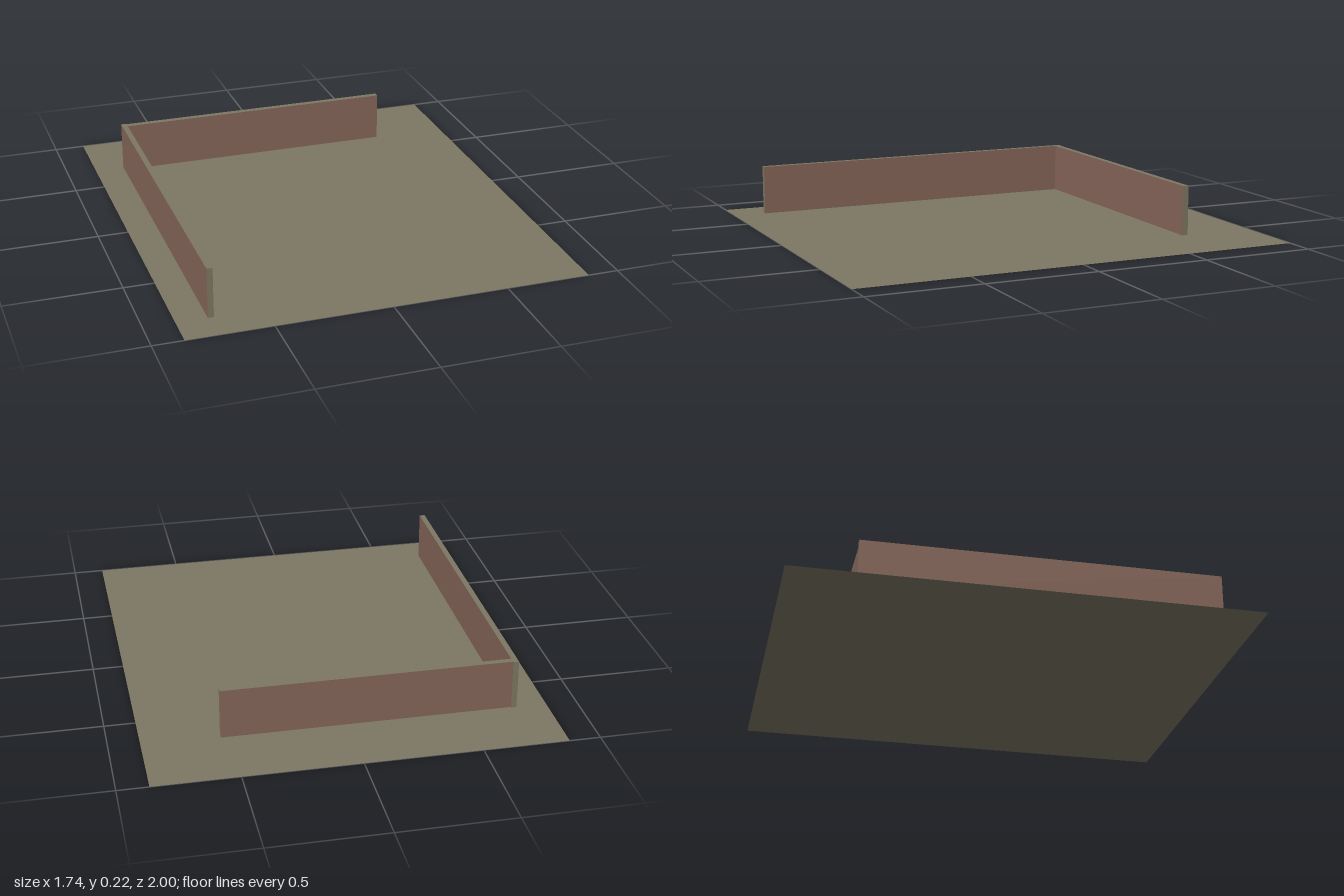
import * as THREE from 'three';

const olive = new THREE.MeshStandardMaterial({ color: 0x7d7763, side: THREE.DoubleSide });
olive.name = 'olive stone';
const brick = new THREE.MeshStandardMaterial({ color: 0x86665a });
brick.name = 'brick red';

const WALL_HEIGHT = 0.22;

// Wall standing on the ground, given its extents; faces run +x, -x, +y, -y, +z, -z
function wall(name, [x0, x1], [z0, z1], materials) {
  const geometry = new THREE.BoxGeometry(x1 - x0, WALL_HEIGHT, z1 - z0);
  const mesh = new THREE.Mesh(geometry, materials);
  mesh.position.set((x0 + x1) / 2, WALL_HEIGHT / 2, (z0 + z1) / 2);
  mesh.name = name;
  return mesh;
}

export function createModel() {
  const model = new THREE.Group();
  model.name = 'groundWithCornerWalls';

  // Flat ground sheet
  const ground = new THREE.Mesh(new THREE.PlaneGeometry(1.735, 2).rotateX(-Math.PI / 2), olive);
  ground.name = 'ground';
  model.add(ground);

  // Two walls meeting in a corner: brick on the long sides, stone on tops and ends
  model.add(
    wall('sideWall', [-0.735, -0.71], [-0.693, 0.855], [brick, brick, olive, olive, olive, olive]),
    wall('backWall', [-0.71, 0.535], [-0.688, -0.661], [olive, olive, olive, olive, brick, brick])
  );
  return model;
}
